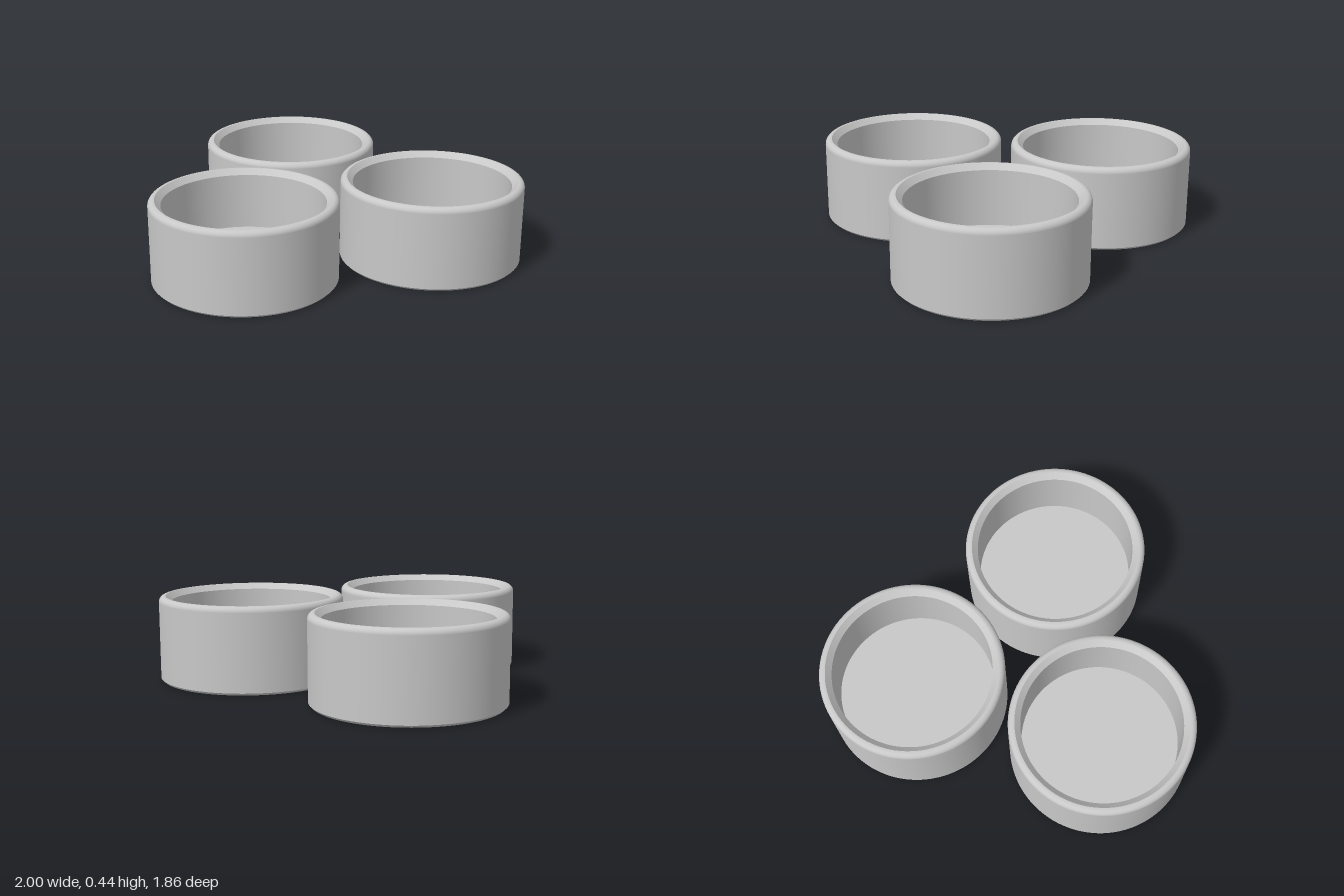
import * as THREE from 'three';
import { mergeGeometries } from 'three/addons/utils/BufferGeometryUtils.js';

const SEGMENTS = 96;
const OUTER = 0.485, INNER = 0.42, LIP = 0.45, RECESS = 0.395;
const HEIGHT = 0.445, FLOOR_TOP = 0.115, FLOOR_BOTTOM = 0.05;
const FILLET = 0.03, BEVEL = 0.012;

// Each profile is turned on its own, so edges between profiles stay sharp
function turned(name, material, ...profiles) {
  const parts = profiles.map(points =>
    new THREE.LatheGeometry(points.map(([r, y]) => new THREE.Vector2(r, y)), SEGMENTS));
  const mesh = new THREE.Mesh(mergeGeometries(parts), material);
  mesh.name = name;
  return mesh;
}

function createCup(material) {
  const cup = new THREE.Group();

  // Outer wall running up into the rounded rim
  const outside = [[OUTER, BEVEL], [OUTER, HEIGHT - FILLET]];
  for (let i = 1; i <= 8; i++) {
    const a = (i / 8) * Math.PI / 2;
    outside.push([OUTER - FILLET + FILLET * Math.cos(a), HEIGHT - FILLET + FILLET * Math.sin(a)]);
  }
  outside.push([LIP, HEIGHT]);
  cup.add(turned('outerWall', material, outside));

  // Bevelled lip and straight inner wall
  cup.add(turned('innerLip', material, [[LIP, HEIGHT], [INNER, HEIGHT - 0.03]]));
  cup.add(turned('innerWall', material, [[INNER, HEIGHT - 0.03], [INNER, FLOOR_TOP]]));

  // Floor, seen from above and from below
  cup.add(turned('floor', material,
    [[INNER, FLOOR_TOP], [0, FLOOR_TOP]],
    [[0, FLOOR_BOTTOM], [RECESS, FLOOR_BOTTOM]]));

  // Foot ring around the recessed underside
  cup.add(turned('footRing', material,
    [[RECESS, FLOOR_BOTTOM], [RECESS, 0]],
    [[RECESS, 0], [OUTER - BEVEL, 0]],
    [[OUTER - BEVEL, 0], [OUTER, BEVEL]]));
  return cup;
}

export function createModel() {
  const model = new THREE.Group();
  model.name = 'threeCups';
  const grey = new THREE.MeshStandardMaterial({ color: 0xc8c8c8 });
  grey.name = 'plain grey';

  // Three equal cups set in a triangle
  const places = [['frontCup', 0, 0.444], ['backLeftCup', 0.515, -0.446], ['backRightCup', -0.515, -0.446]];
  for (const [name, x, z] of places) {
    const cup = createCup(grey);
    cup.name = name;
    cup.position.set(x, 0, z);
    model.add(cup);
  }
  return model;
}
